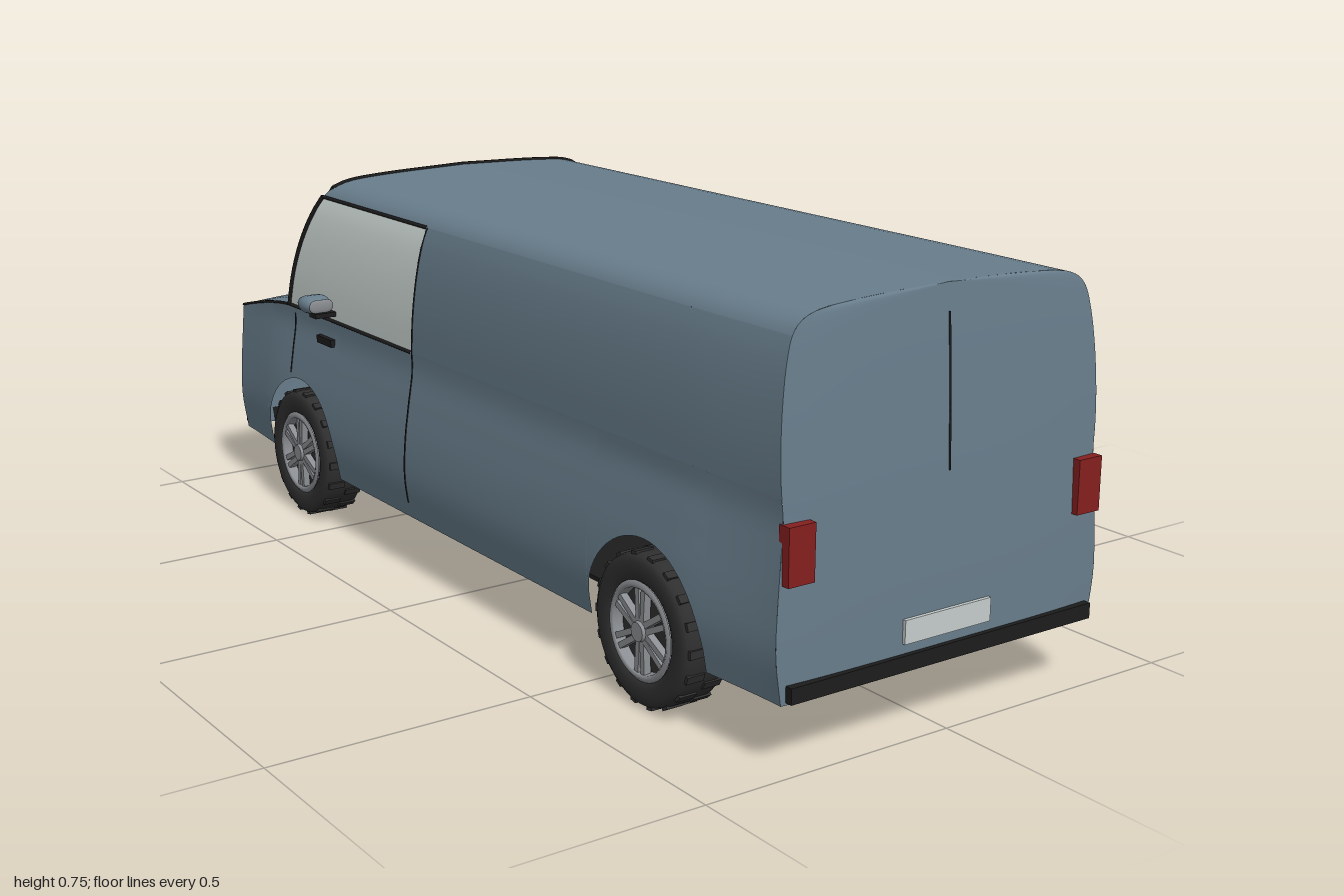
import * as THREE from 'three';

const mat = (name, color) => {
  const m = new THREE.MeshStandardMaterial({ color, side: THREE.DoubleSide });
  m.name = name;
  return m;
};
const lerp = THREE.MathUtils.lerp, smooth = THREE.MathUtils.smoothstep;

// Half cross-section of the body, from sill to roof centre
const profile = new THREE.CatmullRomCurve3([
  [0.358, 0.118], [0.37, 0.2], [0.367, 0.28], [0.356, 0.36], [0.347, 0.42], [0.348, 0.46], [0.348, 0.53],
  [0.342, 0.61], [0.332, 0.67], [0.321, 0.705], [0.305, 0.724], [0.275, 0.737], [0.2, 0.745], [0, 0.752],
].map(([x, y]) => new THREE.Vector3(x, y, 0))).getPoints(160);
const lookup = (from, to, val, pts) => {
  for (let i = 1; i < pts.length; i++) {
    const a = pts[i - 1], b = pts[i];
    if ((a[from] - val) * (b[from] - val) <= 0 && a[from] !== b[from])
      return lerp(a[to], b[to], (val - a[from]) / (b[from] - a[from]));
  }
  return pts[pts.length - 1][to];
};
const SILL = 0.118, BELT = 0.455, RAIL = 0.705, TOP = 0.752;
const COWL = -0.71, NOSE = -0.968, WHEELS = [0.643, -0.638], WHEEL_Y = 0.14, ARCH = 0.163;

// Body width at a height and a length position
const sideX = (y, z) => {
  const taper = lerp(0.045, 0.012, smooth(y, 0.25, 0.5));
  return lookup('y', 'x', y, profile) * (1 - taper * smooth(Math.abs(z), 0.72, 0.985));
};
const roofY = (x) => lookup('x', 'y', Math.abs(x), profile.filter((p) => p.y > 0.7));
const rearZ = (y) => 0.982 - 0.026 * ((y - SILL) / (TOP - SILL)) ** 2;
const doorZ = (y) => -0.168 + 0.026 * (y - BELT) / (RAIL - BELT);
const screenZ = (y) => {
  const t = (TOP - y) / (TOP - BELT);
  return -0.55 - 0.16 * t - 0.02 * Math.sin(Math.PI * t);
};
const hoodY = (z) => BELT - 0.048 * (Math.max(0, COWL - z) / (COWL - NOSE)) ** 1.4;
const sillY = (z) => {
  for (const c of WHEELS) {
    const d = Math.abs(z - c);
    if (d < ARCH - 1e-5) return WHEEL_Y + Math.sqrt(ARCH * ARCH - d * d);
  }
  return SILL;
};

// Curved panel from a rule p(u, v) -> [x, y, z]
function sheet(nu, nv, p, flip = false) {
  const pos = [], idx = [], w = nv + 1;
  for (let i = 0; i <= nu; i++) for (let j = 0; j <= nv; j++) pos.push(...p(i / nu, j / nv));
  for (let i = 0; i < nu; i++) for (let j = 0; j < nv; j++) {
    const a = i * w + j, b = a + w;
    if (flip) idx.push(a, a + 1, b, b, a + 1, b + 1);
    else idx.push(a, b, a + 1, b, b + 1, a + 1);
  }
  const g = new THREE.BufferGeometry();
  g.setAttribute('position', new THREE.Float32BufferAttribute(pos, 3));
  g.setIndex(idx);
  g.computeVertexNormals();
  return g;
}

export function createModel() {
  const van = new THREE.Group();
  van.name = 'van';
  const paint = mat('bodyPaint', 0x687d8b), glass = mat('glass', 0xccd6d3), black = mat('blackTrim', 0x1c1c1c);
  const rubber = mat('rubber', 0x2f2f2f), metal = mat('wheelMetal', 0x8a8d91), red = mat('tailRed', 0x85201f);
  const lamp = mat('lampAndPlate', 0xc6cccb);

  const add = (name, geo, m, parent = van) => {
    const mesh = new THREE.Mesh(geo, m);
    mesh.name = name;
    parent.add(mesh);
    return mesh;
  };
  const box = (name, w, h, d, x, y, z, m, parent = van) => {
    const mesh = add(name, new THREE.BoxGeometry(w, h, d), m, parent);
    mesh.position.set(x, y, z);
    return mesh;
  };
  const tube = (name, n, p, r = 0.004, m = black) => {
    const pts = Array.from({ length: n + 1 }, (_, i) => new THREE.Vector3(...p(i / n)));
    return add(name, new THREE.TubeGeometry(new THREE.CatmullRomCurve3(pts), n * 2, r, 6), m);
  };

  // Length stations, denser around the wheel arches
  const stations = [0.982, 0.96, 0.93, 0.88, 0.83, 0.3, 0.1, -0.1, -0.3, -0.83, -0.88, -0.92, NOSE, COWL];
  for (const c of WHEELS) for (let i = 0; i <= 28; i++) stations.push(c + ARCH * Math.cos(Math.PI * i / 28));
  for (const c of WHEELS) stations.push(c + ARCH + 0.001, c - ARCH - 0.001);
  stations.sort((a, b) => b - a);
  const n = stations.length - 1;

  for (const s of [1, -1]) {
    const side = s > 0 ? 'left' : 'right';
    const flip = s < 0;
    add(side + 'LowerSide', sheet(n, 14, (u, v) => {
      const z0 = stations[Math.round(u * n)];
      const y = lerp(sillY(z0), hoodY(z0), v), z = Math.min(z0, rearZ(y));
      return [s * sideX(y, z), y, z];
    }, flip), paint);
    add(side + 'CargoSide', sheet(24, 12, (u, v) => {
      const y = lerp(BELT, RAIL, v), z = lerp(rearZ(y), doorZ(y), u);
      return [s * sideX(y, z), y, z];
    }, flip), paint);
    const win = (u, v) => {
      const y = lerp(BELT, RAIL, v), z = lerp(doorZ(y), screenZ(y), u);
      return [s * sideX(y, z), y, z];
    };
    add(side + 'DoorWindow', sheet(10, 12, win, flip), glass);
    tube(side + 'WindowSillTrim', 6, (t) => win(t, 0));
    tube(side + 'WindowTopTrim', 6, (t) => win(t, 1));
    tube(side + 'WindowFrontTrim', 8, (t) => win(1, t), 0.006);
    tube(side + 'WindowRearTrim', 6, (t) => win(0, t), 0.002);
    tube(side + 'HoodEdgeTrim', 8, (t) => {
      const z = lerp(COWL, NOSE, t);
      return [s * sideX(hoodY(z), z), hoodY(z), z];
    }, 0.003);
    // Door seams and handle
    tube(side + 'DoorRearSeam', 10, (t) => [s * sideX(lerp(0.15, BELT, t), 0), lerp(0.15, BELT, t), -0.168], 0.0018);
    tube(side + 'DoorFrontSeam', 6, (t) => [s * sideX(lerp(0.31, 0.44, t), 0), lerp(0.31, 0.44, t), -0.685], 0.0018);
    box(side + 'DoorHandle', 0.014, 0.016, 0.065, s * 0.351, 0.408, -0.532, black);
    // Mirror: painted shell, bright face to the rear, dark arm
    const shell = add(side + 'MirrorShell', new THREE.CapsuleGeometry(0.018, 0.027, 6, 14), paint);
    shell.rotation.z = Math.PI / 2;
    shell.scale.z = 1.9;
    shell.position.set(s * 0.39, 0.498, -0.505);
    const face = add(side + 'MirrorGlass', new THREE.CapsuleGeometry(0.014, 0.027, 4, 12), metal);
    face.rotation.z = Math.PI / 2;
    face.scale.z = 0.25;
    face.position.set(s * 0.39, 0.498, -0.473);
    box(side + 'MirrorArm', 0.05, 0.01, 0.03, s * 0.37, 0.473, -0.505, black);
    // Lights
    box(side + 'TailLight', 0.053, 0.098, 0.025, s * 0.316, 0.366, 0.982, red);
    box(side + 'Headlight', 0.078, 0.05, 0.016, s * 0.248, 0.367, -0.976, lamp);
    box(side + 'CornerMarker', 0.012, 0.04, 0.012, s * 0.332, 0.385, -0.958, black);
  }

  // Roof, tail, hood and nose
  add('roof', sheet(30, 32, (u, v) => {
    const x = sideX(RAIL, 0) * Math.sin((v * 2 - 1) * Math.PI / 2);
    const y = roofY(x), z = lerp(rearZ(y), screenZ(y), u);
    return [x * (1 - 0.012 * smooth(z, 0.72, 0.985)), y, z];
  }, true), paint);
  add('rearPanel', sheet(16, 40, (u, v) => {
    const y = lerp(SILL, TOP, 1 - (1 - v) ** 2), k = u * 2 - 1;
    return [k * sideX(y, rearZ(y)), y, rearZ(y) + 0.006 * (1 - k ** 4)];
  }), paint);
  const crown = (k) => 0.012 * (1 - k * k);
  add('hood', sheet(12, 16, (u, v) => {
    const z = lerp(COWL, NOSE, u), k = v * 2 - 1;
    return [k * sideX(hoodY(z), z), hoodY(z) + u * crown(k), z - u * 0.012 * (1 - k ** 4)];
  }, true), paint);
  add('nosePanel', sheet(16, 12, (u, v) => {
    const k = u * 2 - 1, y = lerp(SILL, hoodY(NOSE), v);
    return [k * sideX(y, NOSE), y + v * crown(k), NOSE - 0.012 * (1 - k ** 4)];
  }, true), paint);

  // Windscreen with painted pillars and black seal
  const screen = (k, v) => {
    const a = Math.sin(k * Math.PI / 2);
    const y = lerp(BELT, roofY(a * sideX(RAIL, 0)), v);
    return [a * sideX(lerp(BELT, RAIL, v), 0), y, screenZ(y)];
  };
  const K = 0.78;
  add('windscreen', sheet(24, 12, (u, v) => screen(lerp(-K, K, u), v), true), glass);
  for (const s of [1, -1]) {
    add('windscreenPillar', sheet(6, 12, (u, v) => screen(s * lerp(K, 1, u), v), s > 0), paint);
    tube('windscreenSideSeal', 8, (t) => screen(s * K, t), 0.006);
  }
  tube('windscreenTopSeal', 16, (t) => screen(lerp(-K, K, t), 1), 0.005);
  tube('windscreenBaseSeal', 16, (t) => screen(lerp(-K, K, t), 0), 0.004);

  // Rear details
  tube('rearDoorSeam', 10, (t) => [0, lerp(0.445, 0.705, t), rearZ(lerp(0.445, 0.705, t)) + 0.006], 0.002);
  box('rearBumper', 0.666, 0.028, 0.022, 0, 0.137, 0.986, black);
  box('rearPlate', 0.19, 0.042, 0.008, 0, 0.19, 0.99, lamp);

  // Front details
  box('frontBumper', 0.666, 0.028, 0.022, 0, 0.137, -0.986, black);
  box('frontPlate', 0.18, 0.042, 0.008, 0, 0.193, -0.983, lamp);
  box('grille', 0.4, 0.1, 0.012, 0, 0.31, -0.979, black);
  for (let i = 0; i < 4; i++) box('grilleBar', 0.385, 0.009, 0.008, 0, 0.275 + i * 0.0235, -0.985, metal);

  // Floor and steering wheel
  box('floor', 0.54, 0.008, 1.66, 0, 0.128, 0.125, black);
  const steering = add('steeringWheel', new THREE.TorusGeometry(0.06, 0.006, 8, 24), black);
  steering.position.set(-0.16, 0.4, -0.56);
  steering.rotation.x = 0.5;

  // Wheels, built with the axle along x and the outside at +x
  const lathe = (pts) => new THREE.LatheGeometry(pts.map((p) => new THREE.Vector2(...p)), 40).rotateZ(-Math.PI / 2);
  const tyreGeo = lathe([[0.08, -0.04], [0.1, -0.045], [0.122, -0.046], [0.132, -0.04], [0.135, -0.03], [0.135, 0.03],
    [0.132, 0.04], [0.122, 0.046], [0.1, 0.045], [0.088, 0.04], [0.084, 0.03]]);
  const rimGeo = lathe([[0.074, 0.02], [0.076, 0.044], [0.083, 0.047], [0.089, 0.042]]);
  const discGeo = new THREE.CylinderGeometry(0.084, 0.084, 0.05, 32).rotateZ(Math.PI / 2);
  const hubGeo = new THREE.CylinderGeometry(0.017, 0.023, 0.022, 18).rotateZ(-Math.PI / 2);
  for (const z of WHEELS) for (const s of [1, -1]) {
    const wheel = new THREE.Group();
    wheel.name = (z > 0 ? 'rear' : 'front') + (s > 0 ? 'Left' : 'Right') + 'Wheel';
    wheel.position.set(s * 0.329, WHEEL_Y, z);
    if (s < 0) wheel.rotation.y = Math.PI;
    van.add(wheel);
    add('tyre', tyreGeo, rubber, wheel);
    add('rim', rimGeo, metal, wheel);
    add('wheelDisc', discGeo, rubber, wheel);
    add('hub', hubGeo, metal, wheel).position.x = 0.038;
    for (let i = 0; i < 6; i++) {
      const arm = new THREE.Group();
      arm.name = 'spoke';
      arm.rotation.x = i * Math.PI / 3;
      wheel.add(arm);
      for (const k of [-1, 1]) box('spokeBar', 0.014, 0.066, 0.011, 0.036, 0.047, k * 0.0075, metal, arm).rotation.x = k * 0.06;
    }
    for (let i = 0; i < 36; i++) {
      const lug = new THREE.Group();
      lug.name = 'tread';
      lug.rotation.x = i * Math.PI / 18;
      wheel.add(lug);
      box('treadBlock', 0.036, 0.006, 0.015, i % 2 ? 0.021 : -0.021, 0.135, 0, rubber, lug);
    }
  }
  return van;
}
